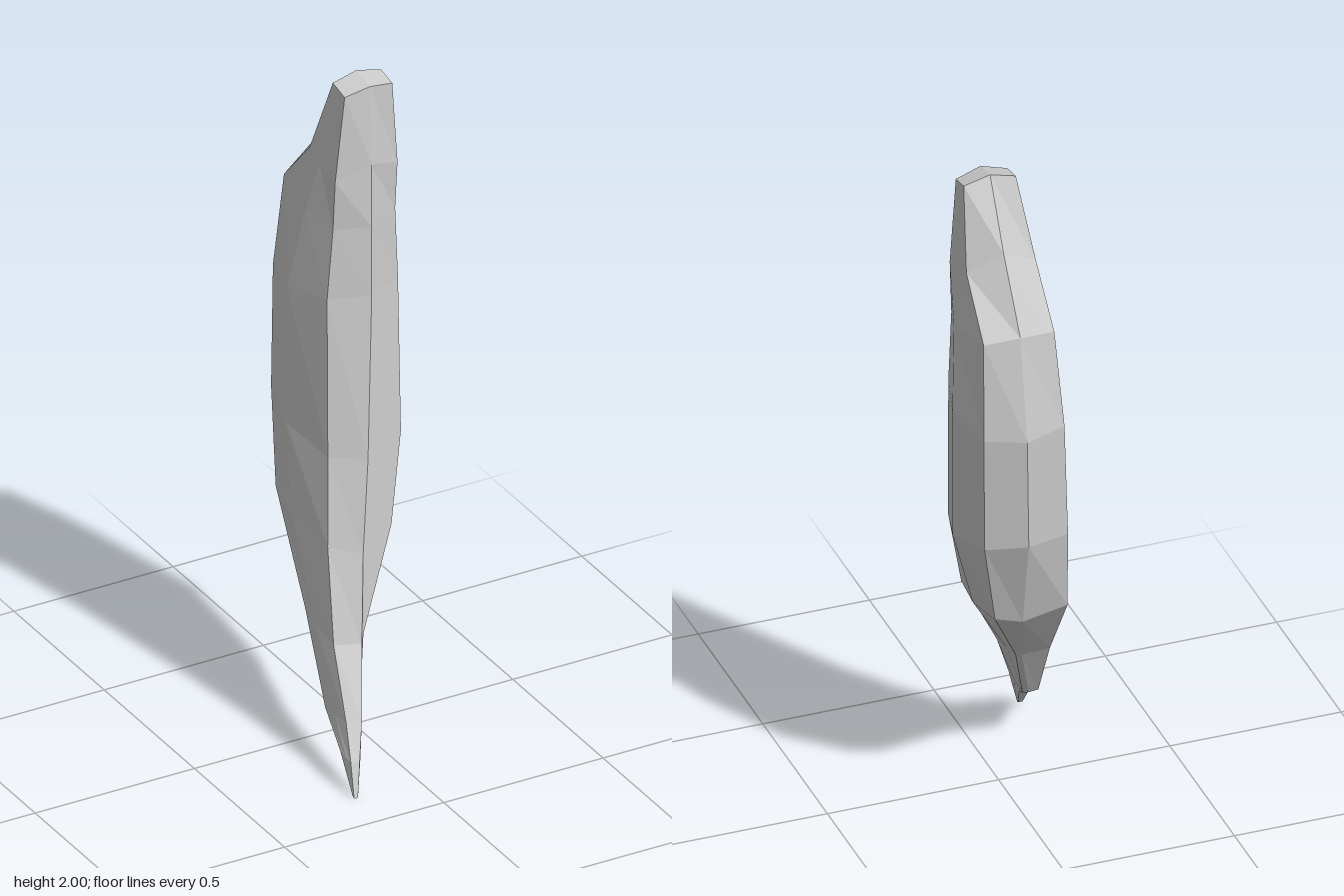
import * as THREE from 'three';

// Cross-sections from the blunt top to the pointed tip:
// front/back height, front/back depth, centre x at front/back, right/left side x,
// corner fullness, back corner depth, side depth, corner drop
const SECTIONS = [
  [1.985, 2.00, -0.005, -0.08, 0.055, 0.055, -0.02, 0.132, 1.00, 1.00, 0.55, 0.02],
  [1.75, 1.81, 0.01, -0.19, 0.05, 0.057, -0.055, 0.158, 0.95, 0.83, 0.50, 0.05],
  [1.56, 1.61, 0.02, -0.315, 0.045, 0.055, -0.078, 0.18, 0.80, 0.94, 0.45, 0.01],
  [1.35, 1.30, 0.03, -0.36, 0.04, 0.052, -0.11, 0.20, 0.76, 0.90, 0.52, 0],
  [0.87, 0.95, 0.08, -0.34, 0.00, 0.04, -0.13, 0.19, 0.76, 0.90, 0.54, 0],
  [0.60, 0.65, 0.115, -0.24, -0.035, 0.02, -0.14, 0.112, 0.84, 0.97, 0.60, -0.02],
  [0.355, 0.40, 0.17, -0.02, -0.07, -0.06, -0.15, -0.045, 0.95, 0.95, 0.60, 0],
  [0.18, 0.17, 0.275, 0.14, -0.13, -0.14, -0.172, -0.123, 0.95, 0.97, 0.55, 0],
  [0.09, 0.10, 0.33, 0.26, -0.168, -0.175, -0.192, -0.158, 0.95, 0.95, 0.50, 0],
  [0.00, 0.005, 0.362, 0.352, -0.196, -0.196, -0.203, -0.19, 0.95, 0.95, 0.50, 0],
];

// Eight-sided section: front ridge, +x side, back ridge, -x side
function makeRing([yF, yB, zF, zB, xF, xB, xL, xR, full, tBack, tSide, drop]) {
  const lerp = THREE.MathUtils.lerp;
  const point = (t, side, width, dy) => {
    const mid = lerp(xF, xB, t);
    const edge = side > 0 ? xR : xL;
    return [lerp(mid, edge, width), lerp(yF, yB, t) - dy, lerp(zF, zB, t)];
  };
  const half = (side) => [
    point(side > 0 ? 0.18 : 0.12, side, full, drop),
    point(tSide, side, 1, drop),
    point(tBack, side, full, drop),
  ];
  return [point(0, 1, 0, 0), ...half(1), point(1, 1, 0, 0), ...half(-1).reverse()];
}

function loft(rings) {
  const n = rings[0].length;
  const positions = rings.flat(2);
  const index = [];
  for (let i = 0; i < rings.length - 1; i++) {
    for (let j = 0; j < n; j++) {
      const k = (j + 1) % n;
      const a = i * n, b = a + n;
      index.push(a + j, b + j, b + k, a + j, b + k, a + k);
    }
  }
  // Close both ends with a fan
  [0, rings.length - 1].forEach((r, end) => {
    const centre = positions.length / 3;
    for (let c = 0; c < 3; c++) positions.push((rings[r][0][c] + rings[r][4][c]) / 2);
    for (let j = 0; j < n; j++) {
      const a = r * n + j, b = r * n + ((j + 1) % n);
      index.push(centre, end ? b : a, end ? a : b);
    }
  });
  const geometry = new THREE.BufferGeometry();
  geometry.setAttribute('position', new THREE.Float32BufferAttribute(positions, 3));
  geometry.setIndex(index);
  const faceted = geometry.toNonIndexed();
  faceted.computeVertexNormals();
  return faceted;
}

export function createModel() {
  const group = new THREE.Group();
  group.name = 'curvedHorn';
  const material = new THREE.MeshStandardMaterial({ color: 0xcccccc, flatShading: true });
  const horn = new THREE.Mesh(loft(SECTIONS.map(makeRing)), material);
  horn.name = 'hornBody';
  group.add(horn);
  return group;
}
